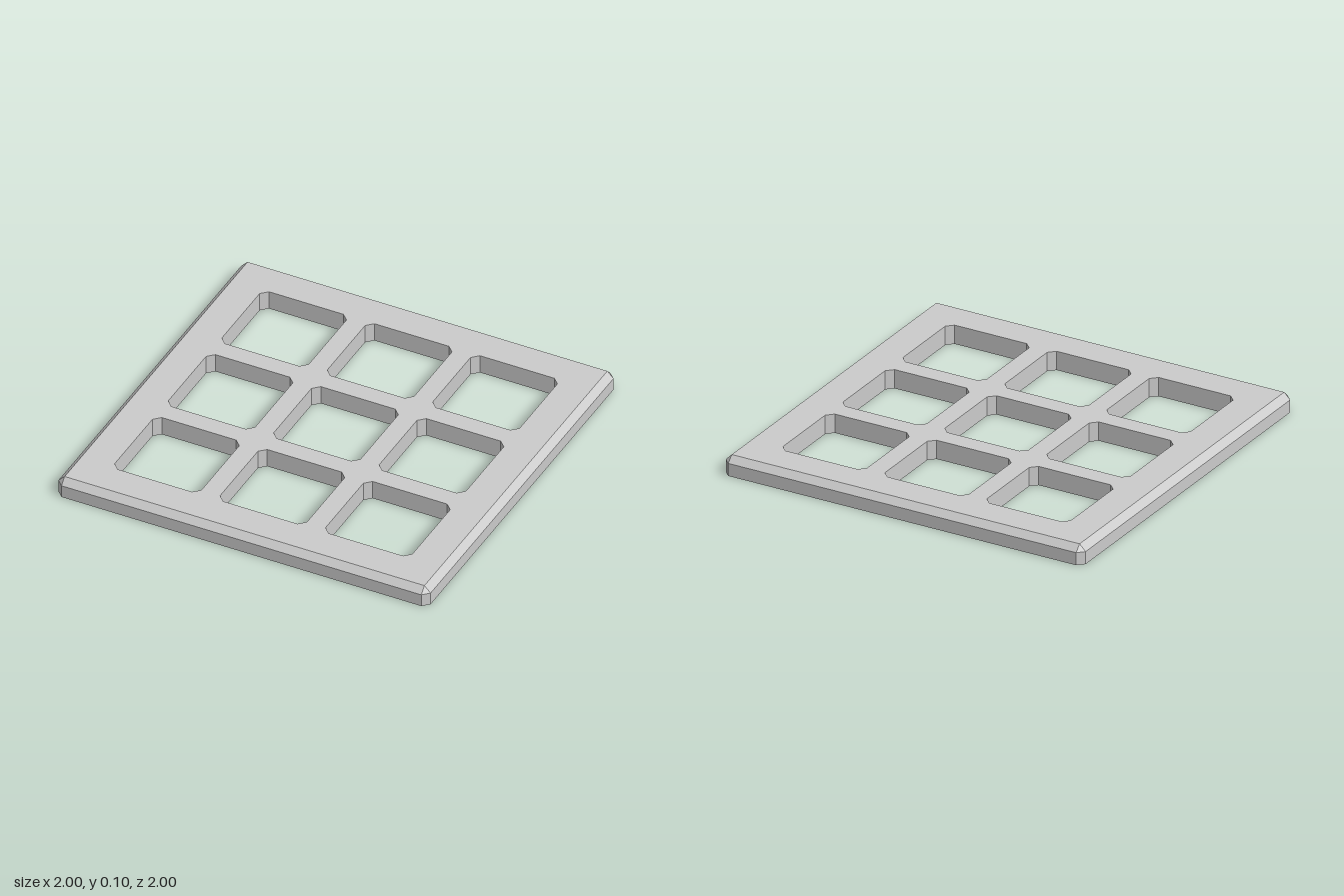
import * as THREE from 'three';

const HEIGHT = 0.1;
const CHAMFER = 0.0333;

// Corner points of a square with cut corners
function cutSquare(cx, cy, half, cut) {
  const a = half, b = half - cut;
  return [[b, -a], [a, -b], [a, b], [b, a], [-b, a], [-a, b], [-a, -b], [-b, -a]]
    .map(([x, y]) => new THREE.Vector2(cx + x, cy + y));
}

export function createModel() {
  const group = new THREE.Group();
  group.name = 'gridPanel';

  // Square plate with a 3 x 3 array of openings
  const outline = new THREE.Shape(cutSquare(0, 0, 1, CHAMFER));
  const pitch = 0.5667;
  for (let i = -1; i <= 1; i++) {
    for (let j = -1; j <= 1; j++) {
      outline.holes.push(new THREE.Path(cutSquare(i * pitch, j * pitch, 0.2333, CHAMFER)));
    }
  }
  const geometry = new THREE.ExtrudeGeometry(outline, { depth: HEIGHT, steps: 3, bevelEnabled: false });
  geometry.rotateX(-Math.PI / 2);

  // Bevel the top rim by pulling in only the uppermost layer
  const pos = geometry.attributes.position;
  const inner = 1 - CHAMFER;
  for (let i = 0; i < pos.count; i++) {
    if (pos.getY(i) < HEIGHT - 0.001) continue;
    pos.setX(i, THREE.MathUtils.clamp(pos.getX(i), -inner, inner));
    pos.setZ(i, THREE.MathUtils.clamp(pos.getZ(i), -inner, inner));
  }
  geometry.computeVertexNormals();

  const panel = new THREE.Mesh(
    geometry,
    new THREE.MeshStandardMaterial({ color: 0xcccccc, flatShading: true })
  );
  panel.name = 'latticePlate';
  group.add(panel);
  return group;
}
